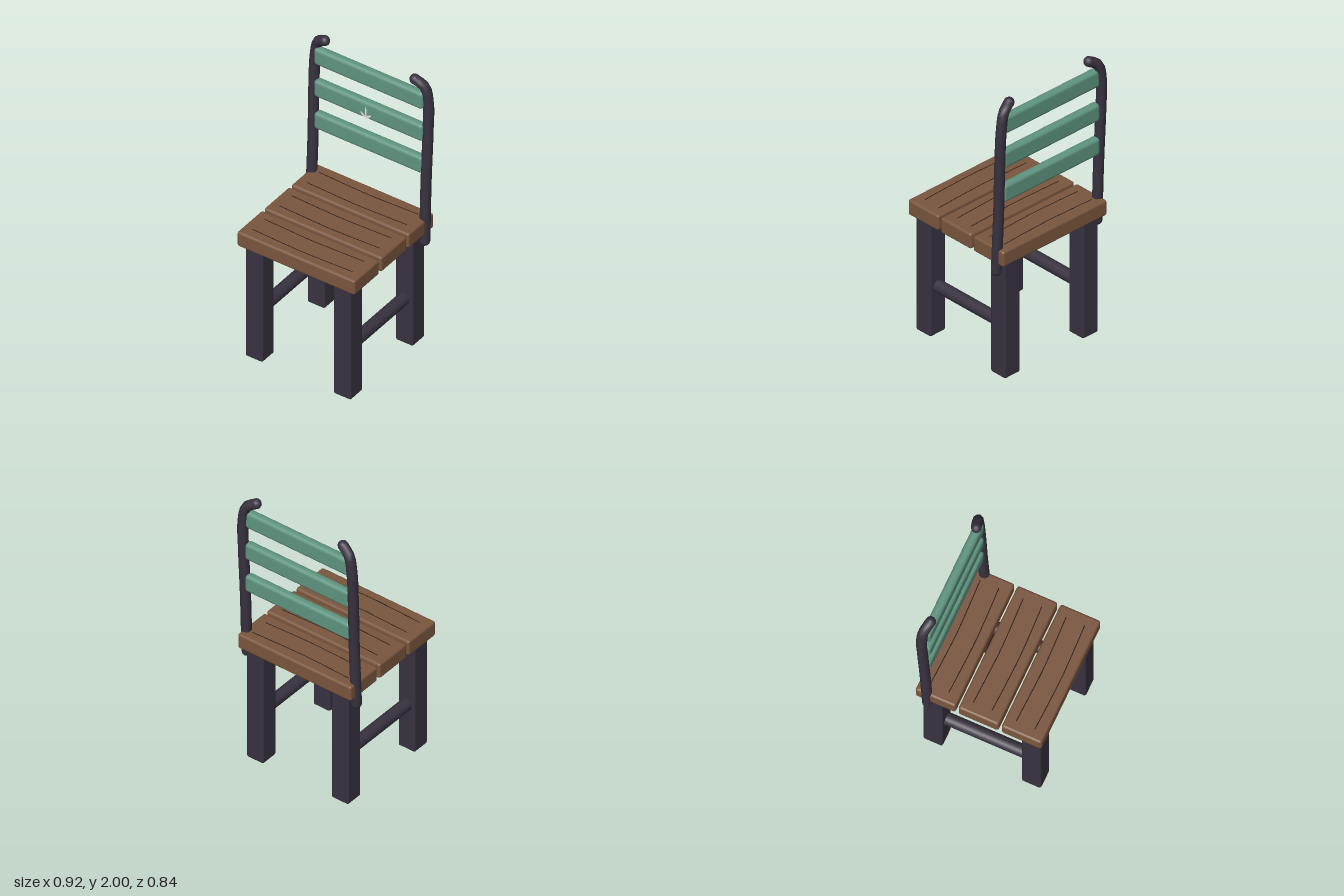
import * as THREE from 'three';
import { RoundedBoxGeometry } from 'three/addons/geometries/RoundedBoxGeometry.js';

const paint = (color, side = THREE.FrontSide) => new THREE.MeshStandardMaterial({ color, side });
const WOOD = paint(0x7a563e);
const GRAIN = paint(0x2a1c14);
const IRON = paint(0x38323f);
const GREEN = paint(0x5f9480);
const PALE = paint(0xe4e4d8, THREE.DoubleSide);

export function createModel() {
  const chair = new THREE.Group();
  chair.name = 'chair';

  const add = (name, geometry, material, x = 0, y = 0, z = 0) => {
    const mesh = new THREE.Mesh(geometry, material);
    mesh.name = name;
    mesh.position.set(x, y, z);
    chair.add(mesh);
    return mesh;
  };
  const box = (name, w, h, d, r, material, x, y, z) =>
    add(name, new RoundedBoxGeometry(w, h, d, 2, r), material, x, y, z);

  // Seat planks, each with two gently bowed grain lines
  for (const z of [-0.2875, 0, 0.2875]) {
    box('seatPlank', 0.875, 0.11, 0.268, 0.016, WOOD, 0, 0.895, z);
    for (const s of [-1, 1]) {
      const line = new THREE.CatmullRomCurve3([
        new THREE.Vector3(-0.37, 0, -0.002),
        new THREE.Vector3(-0.15, 0, 0.005),
        new THREE.Vector3(0, 0, 0.008),
        new THREE.Vector3(0.15, 0, 0.004),
        new THREE.Vector3(0.37, 0, -0.005),
      ]);
      add('grainLine', new THREE.TubeGeometry(line, 16, 0.003, 5), GRAIN, 0, 0.95, z + s * 0.0625);
    }
  }

  // Backrest slats
  for (const y of [1.34, 1.585, 1.83]) {
    box('backSlat', 0.81, 0.126, 0.06, 0.024, GREEN, 0, y, -0.369);
  }

  for (const side of [-1, 1]) {
    const name = side > 0 ? 'left' : 'right';

    // Legs and the round stretcher between them
    box(name + 'FrontLeg', 0.13, 0.85, 0.13, 0.014, IRON, side * 0.328, 0.43, 0.333);
    box(name + 'BackLeg', 0.13, 0.85, 0.13, 0.014, IRON, side * 0.328, 0.43, -0.325);
    add(name + 'Stretcher', new THREE.CylinderGeometry(0.042, 0.042, 0.58, 12), IRON,
      side * 0.328, 0.35, 0.004).rotation.x = Math.PI / 2;

    // Bent back post with rounded ends
    const path = new THREE.CatmullRomCurve3([
      [0.423, 0.782, -0.345],
      [0.42, 1.2, -0.362],
      [0.424, 1.6, -0.378],
      [0.421, 1.8, -0.386],
      [0.395, 1.925, -0.382],
      [0.335, 1.966, -0.365],
    ].map(([x, y, z]) => new THREE.Vector3(side * x, y, z)));
    add(name + 'BackPost', new THREE.TubeGeometry(path, 36, 0.034, 10), IRON);
    for (const t of [0, 1]) {
      const p = path.getPoint(t);
      add(name + 'PostEnd', new THREE.SphereGeometry(0.034, 12, 8), IRON, p.x, p.y, p.z);
    }
  }

  // Small sprout ornament: a centre leaf with a curved leaf on each side
  const leaf = (length, width) => {
    const shape = new THREE.Shape();
    shape.moveTo(0, 0);
    shape.quadraticCurveTo(width, length * 0.55, 0, length);
    shape.quadraticCurveTo(-width, length * 0.55, 0, 0);
    return new THREE.ShapeGeometry(shape, 6);
  };
  add('centreLeaf', leaf(0.1, 0.014), PALE, 0, 1.535, -0.322);
  for (const s of [-1, 1]) {
    add('sideLeaf', leaf(0.055, 0.018), PALE, 0, 1.545, -0.322).rotation.z = s * 0.8;
  }

  return chair;
}
